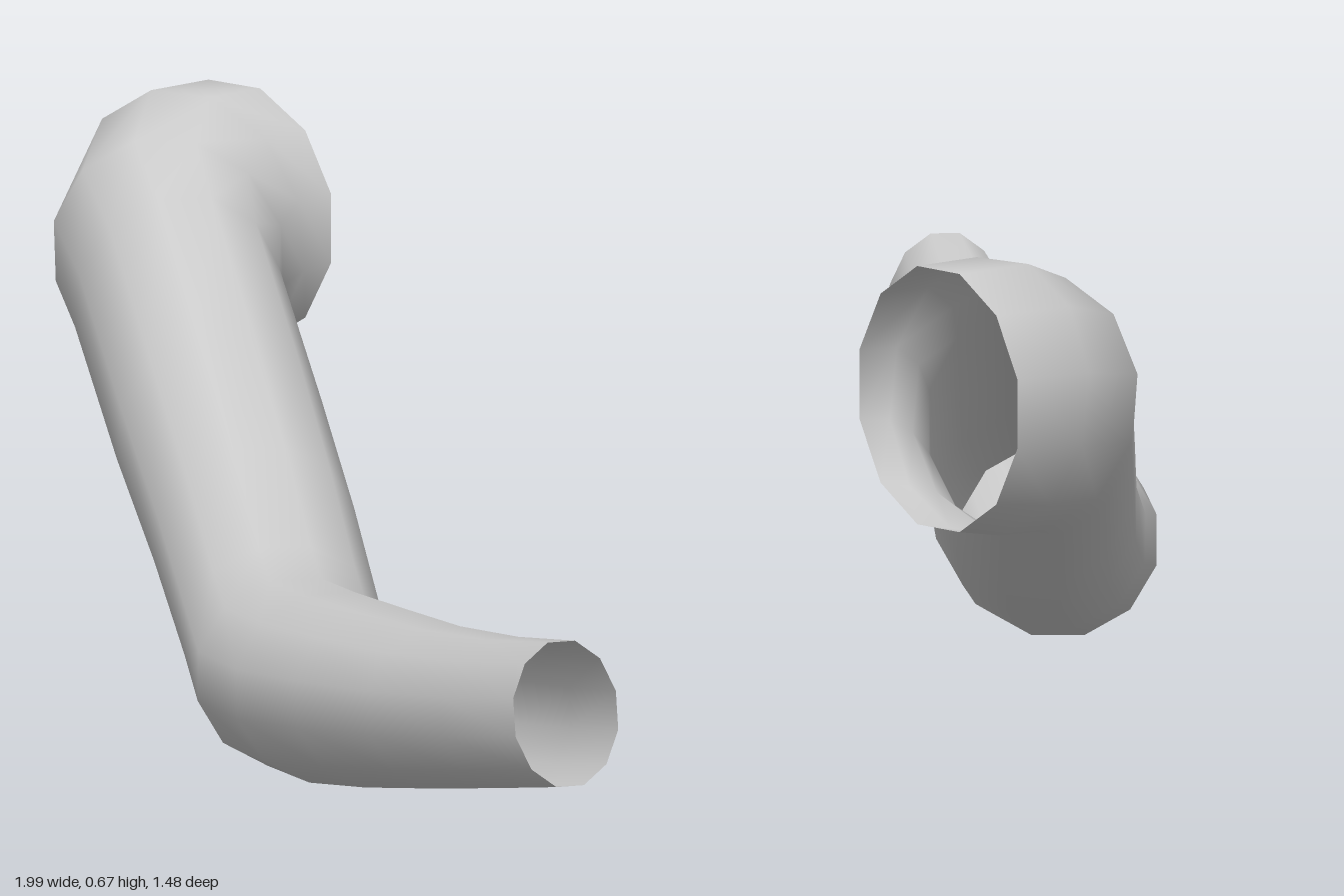
import * as THREE from 'three';

const SIDES = 12;

// Centre x, y, z, then half-width and half-height of each ring along the pipe
const RINGS = [
  [-0.82, 0.508, -0.74, 0.17, 0.175],
  [-0.828, 0.505, -0.66, 0.172, 0.183],
  [-0.79, 0.483, -0.57, 0.153, 0.172],
  [-0.72, 0.443, -0.505, 0.136, 0.158],
  [-0.488, 0.325, -0.317, 0.137, 0.15],
  [-0.287, 0.236, -0.151, 0.134, 0.133],
  [-0.09, 0.162, 0.025, 0.131, 0.122],
  [0.02, 0.136, 0.13, 0.132, 0.128],
  [0.155, 0.146, 0.212, 0.136, 0.126],
  [0.335, 0.172, 0.317, 0.126, 0.118],
  [0.544, 0.207, 0.443, 0.108, 0.107],
  [0.75, 0.246, 0.561, 0.092, 0.1],
  [0.955, 0.29, 0.68, 0.073, 0.097],
];

// Skins oval rings set square to the path; both ends stay open
function pipeGeometry(rings, sides) {
  const centres = rings.map(([x, y, z]) => new THREE.Vector3(x, y, z));
  const up = new THREE.Vector3(0, 1, 0);
  const positions = [];
  const indices = [];
  rings.forEach(([, , , width, height], i) => {
    const before = centres[Math.max(i - 1, 0)];
    const after = centres[Math.min(i + 1, rings.length - 1)];
    const along = after.clone().sub(before).normalize();
    if (i === 0) along.set(0, 0, 1); // wide mouth faces straight back
    const across = along.clone().cross(up).normalize();
    const upright = across.clone().cross(along);
    for (let j = 0; j < sides; j++) {
      const a = ((j + 0.5) / sides) * Math.PI * 2;
      const p = centres[i].clone()
        .addScaledVector(across, Math.cos(a) * width * 1.02)
        .addScaledVector(upright, Math.sin(a) * height * 1.02);
      positions.push(p.x, p.y, p.z);
      if (i < rings.length - 1) {
        const p0 = i * sides + j;
        const p1 = i * sides + ((j + 1) % sides);
        indices.push(p0, p0 + sides, p1, p1, p0 + sides, p1 + sides);
      }
    }
  });
  const geometry = new THREE.BufferGeometry();
  geometry.setAttribute('position', new THREE.Float32BufferAttribute(positions, 3));
  geometry.setIndex(indices);
  geometry.computeVertexNormals();
  return geometry;
}

export function createModel() {
  const group = new THREE.Group();
  group.name = 'bentPipe';
  const material = new THREE.MeshStandardMaterial({ color: 0xcccccc, side: THREE.DoubleSide });
  const pipe = new THREE.Mesh(pipeGeometry(RINGS, SIDES), material);
  pipe.name = 'taperedPipe';
  group.add(pipe);
  return group;
}
